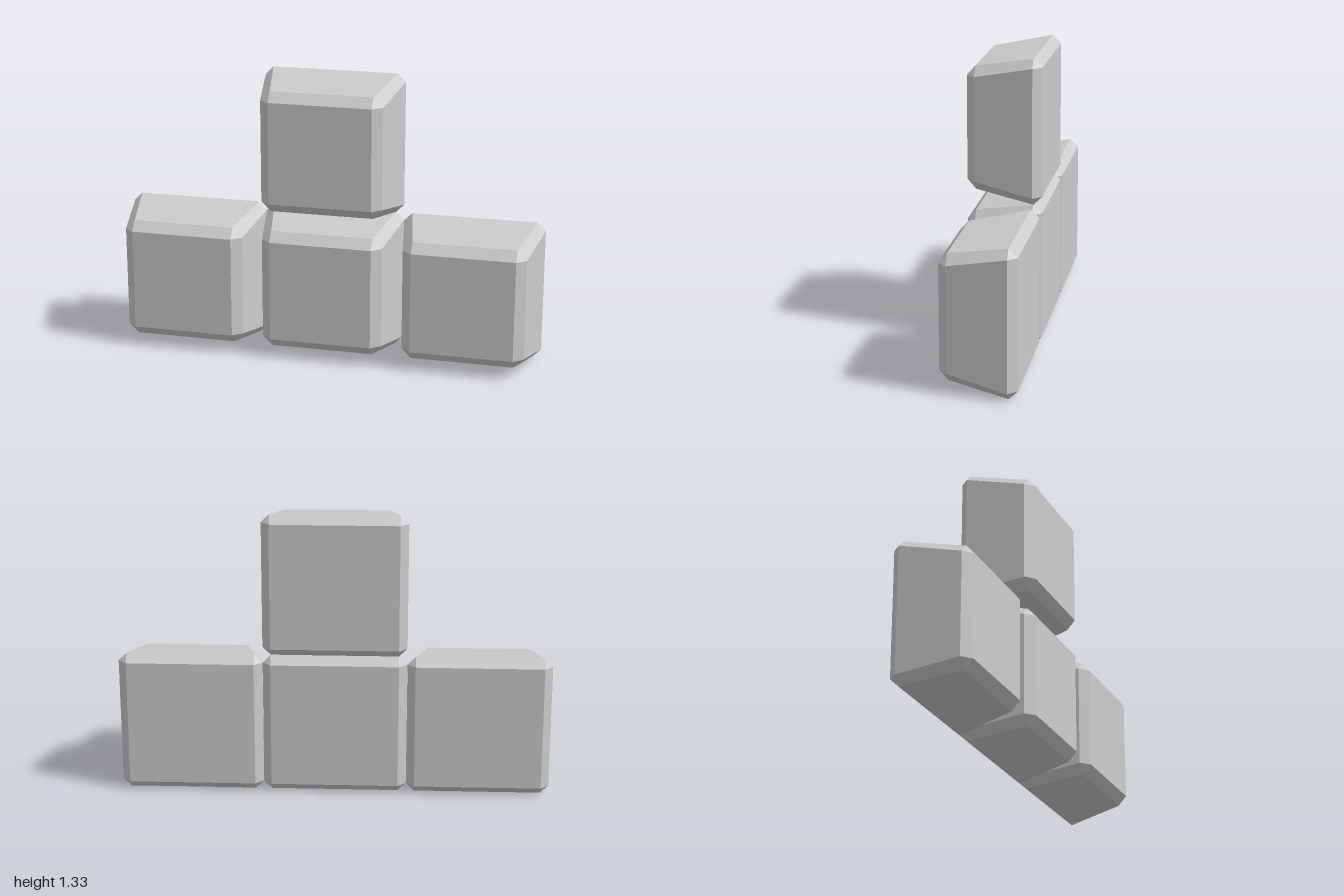
import * as THREE from 'three';
import { ConvexGeometry } from 'three/addons/geometries/ConvexGeometry.js';

// Tapered block with chamfered edges and corners, wide at the back
function blockGeometry() {
  const points = [];
  const ends = [
    { inner: 0.295, outer: 0.333, face: -0.175, rim: -0.135 }, // back
    { inner: 0.24, outer: 0.285, face: 0.175, rim: 0.135 }, // front
  ];
  for (const { inner, outer, face, rim } of ends) {
    for (const sx of [-1, 1]) {
      for (const sy of [-1, 1]) {
        points.push(
          new THREE.Vector3(sx * inner, sy * inner, face),
          new THREE.Vector3(sx * outer, sy * inner, rim),
          new THREE.Vector3(sx * inner, sy * outer, rim)
        );
      }
    }
  }
  return new ConvexGeometry(points);
}

export function createModel() {
  const model = new THREE.Group();
  model.name = 'blockPiece';
  const grey = new THREE.MeshStandardMaterial({ color: 0xcccccc });
  grey.name = 'lightGrey';
  const geometry = blockGeometry();

  // Row of three with one block on top of the middle
  const size = 2 / 3;
  const cells = {
    rightBlock: [-1, 0],
    middleBlock: [0, 0],
    leftBlock: [1, 0],
    topBlock: [0, 1],
  };
  for (const [name, [column, row]] of Object.entries(cells)) {
    const block = new THREE.Mesh(geometry, grey);
    block.name = name;
    block.position.set(column * size, (row + 0.5) * size, 0);
    model.add(block);
  }
  return model;
}
